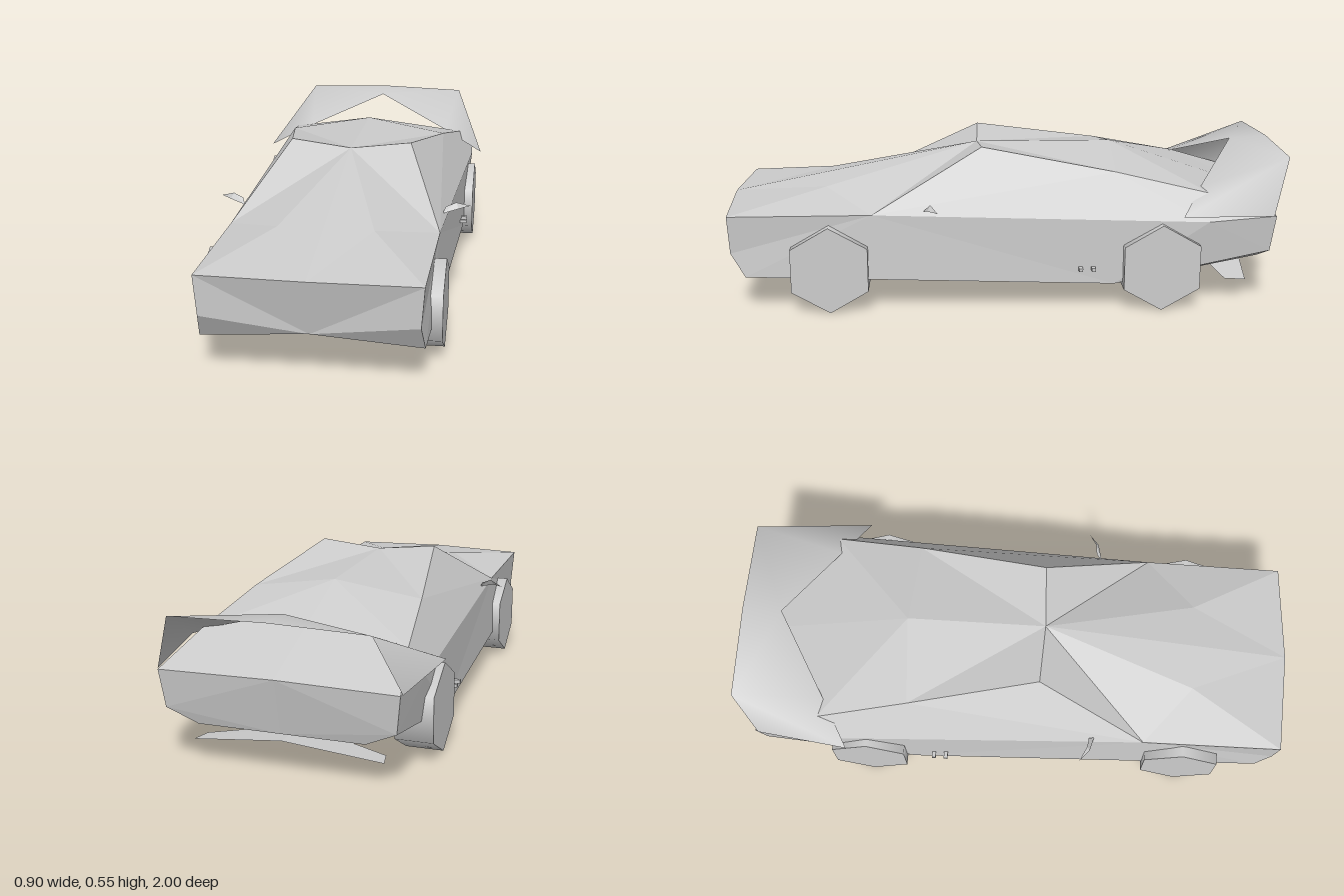
import * as THREE from 'three';

const grey = (flat) => new THREE.MeshStandardMaterial({ color: 0xcccccc, flatShading: flat, side: THREE.DoubleSide });

// Builds both halves of a symmetric surface from the +x half:
// points by key, faces as strings of keys, counter-clockwise from outside.
function mirroredMesh(name, points, faces, flat) {
  const keys = Object.keys(points);
  const positions = [];
  const index = [];
  const id = {};
  keys.forEach((k) => {
    const [x, y, z] = points[k];
    const right = positions.length / 3;
    positions.push(x, y, z);
    id[k] = [right, right];
    if (x !== 0) {
      positions.push(-x, y, z);
      id[k][1] = right + 1;
    }
  });
  for (const face of faces) {
    for (let i = 1; i < face.length - 1; i++) {
      const [a, b, c] = [id[face[0]], id[face[i]], id[face[i + 1]]];
      index.push(a[0], b[0], c[0], a[1], c[1], b[1]);
    }
  }
  let geometry = new THREE.BufferGeometry();
  geometry.setAttribute('position', new THREE.Float32BufferAttribute(positions, 3));
  geometry.setIndex(index);
  if (flat) geometry = geometry.toNonIndexed();
  geometry.computeVertexNormals();
  const mesh = new THREE.Mesh(geometry, grey(flat));
  mesh.name = name;
  return mesh;
}

function body() {
  const points = {
    // nose
    A: [0, 0.35, 1], B: [0.355, 0.345, 0.98], C: [0.345, 0.21, 0.975],
    D: [0.355, 0.125, 0.925], E: [0, 0.16, 0.95],
    // hood and windshield base
    F: [0.16, 0.4, 0.65], G: [0.36, 0.345, 0.48],
    // roof
    H: [0, 0.527, 0.1], I: [0.22, 0.552, 0.09], J: [0.305, 0.475, -0.38],
    K: [0, 0.525, -0.4], L: [0.355, 0.405, -0.71],
    // tail
    N: [0, 0.34, -0.95], O: [0.4, 0.33, -0.94], P: [0.385, 0.2, -0.925],
    Q: [0.28, 0.15, -0.91], R: [0, 0.15, -0.91],
    // belt line, sill and floor
    S: [0.41, 0.315, -0.7], T: [0.395, 0.09, -0.37], U: [0, 0.145, -0.37],
  };
  const faces = [
    'ABF', 'BGF', 'AFH', 'FGH', 'HGI', // hood and windshield
    'HIJ', 'HJK', 'KJL', 'KLN', 'LON', // roof and rear deck
    'GSJ', 'GJI', 'SLJ', 'SOL', // side windows
    'GBC', 'GCD', 'GDT', 'GTS', 'STP', 'SPO', 'TQP', // flanks
    'EDC', 'ECB', 'EBA', // nose
    'NOP', 'NPR', 'PQR', // tail panel
    'DEUT', 'TURQ', // floor
  ];
  return mirroredMesh('body', points, faces, true);
}

// Hoop-shaped wing standing over the rear deck
function rearWing() {
  const points = {
    a: [0, 0.525, -0.86], b: [0.29, 0.415, -0.69], c: [0.45, 0.345, -0.6],
    d: [0, 0.535, -1], e: [0.33, 0.525, -0.995], f: [0.405, 0.33, -0.93],
  };
  return mirroredMesh('rearWing', points, ['abe', 'aed', 'bce', 'cfe'], false);
}

// Thin chevron blade under the tail
function diffuser() {
  const points = { a: [0, 0.11, -0.72], b: [0, 0.122, -0.9], c: [0.325, 0.073, -0.86], d: [0.31, 0.07, -0.79] };
  return mirroredMesh('diffuser', points, ['adcb'], true);
}

function wheel(name, side, inner, outer, z) {
  const geometry = new THREE.CylinderGeometry(0.155, 0.155, outer - inner, 6);
  geometry.rotateZ(Math.PI / 2).rotateX(Math.PI / 2);
  const mesh = new THREE.Mesh(geometry, grey(false));
  mesh.position.set(side * (inner + outer) / 2, 0.155, z);
  mesh.name = name;
  return mesh;
}

export function createModel() {
  const car = new THREE.Group();
  car.name = 'car';
  car.add(body(), rearWing(), diffuser());

  for (const side of [1, -1]) {
    const label = side > 0 ? 'left' : 'right';
    car.add(wheel(label + 'FrontWheel', side, 0.265, 0.395, 0.63));
    car.add(wheel(label + 'RearWheel', side, 0.3, 0.43, -0.535));

    // small vents low on the flank
    for (const z of [-0.25, -0.295]) {
      const vent = new THREE.Mesh(new THREE.BoxGeometry(0.03, 0.012, 0.014), grey(true));
      vent.position.set(side * 0.4, 0.148, z);
      vent.name = label + 'Vent';
      car.add(vent);
    }
  }

  // pointed door mirrors
  const mirrorPoints = {
    a: [0.355, 0.355, 0.3], b: [0.365, 0.375, 0.28],
    c: [0.4, 0.39, 0.275], d: [0.41, 0.37, 0.285], e: [0.45, 0.372, 0.25],
  };
  car.add(mirroredMesh('doorMirrors', mirrorPoints, ['adcb', 'dec'], true));
  return car;
}
